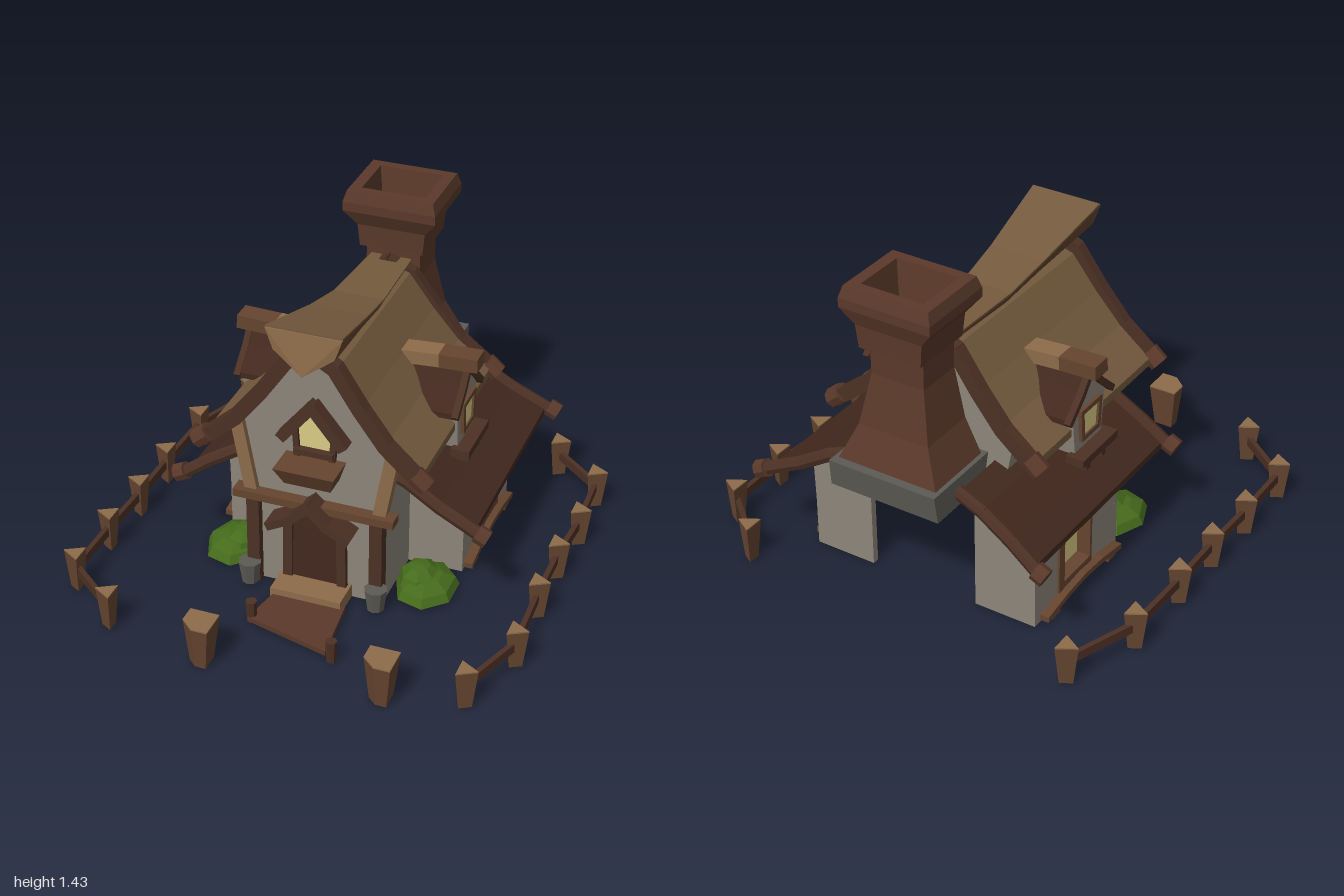
import * as THREE from 'three';

const mat = (name, color) => { const m = new THREE.MeshStandardMaterial({ color }); m.name = name; return m; };
const M = {
  wall: mat('plaster', 0x8d857a), stone: mat('stone', 0x5b5a54), beam: mat('dark beam', 0x4c3024),
  wood: mat('brown wood', 0x66452f), tan: mat('tan wood', 0x8d6c4a), thatch: mat('main roofing', 0x755b3e),
  dark: mat('lower roofing', 0x42281e), glass: mat('lit glass', 0xdacb86), leaf: mat('leaf', 0x456b1c),
  brick: mat('chimney brown', 0x5a392a),
};
let house;

// Every mesh is faceted
function add(name, geo, m, pos) {
  const g = geo.index ? geo.toNonIndexed() : geo;
  g.computeVertexNormals();
  const mesh = new THREE.Mesh(g, m);
  mesh.name = name;
  if (pos) mesh.position.set(...pos);
  house.add(mesh);
  return mesh;
}
const box = (name, m, w, h, d, x, y, z) => add(name, new THREE.BoxGeometry(w, h, d), m, [x, y, z]);

// Beam or log between two points; sides = 0 gives a square beam
function beam(name, m, a, b, w, h = w, sides = 0) {
  const p = new THREE.Vector3(...a), q = new THREE.Vector3(...b), len = p.distanceTo(q) + w * 0.3;
  const geo = sides ? new THREE.CylinderGeometry(w / 2, w / 2, len, sides).rotateX(Math.PI / 2)
    : new THREE.BoxGeometry(w, h, len);
  const mesh = add(name, geo, m);
  mesh.position.copy(p).add(q).multiplyScalar(0.5);
  mesh.lookAt(q);
}
function path(name, m, pts, w, h, sides) {
  for (let i = 1; i < pts.length; i++) beam(name, m, pts[i - 1], pts[i], w, h, sides);
}

const shape = pts => new THREE.Shape(pts.map(p => new THREE.Vector2(...p)));
// Plate in the xy plane from z0 to z1
function plate(name, m, pts, z0, z1) {
  add(name, new THREE.ExtrudeGeometry(shape(pts), { depth: z1 - z0, bevelEnabled: false }), m, [0, 0, z0]);
}
// Plate in the zy plane, between x0 and x1 on side s
function sidePlate(name, m, pts, x0, x1, s) {
  const geo = new THREE.ExtrudeGeometry(shape(pts.map(([z, y]) => [-z, y])), { depth: x1 - x0, bevelEnabled: false });
  add(name, geo.rotateY(Math.PI / 2), m, [s > 0 ? x0 : -x1, 0, 0]);
}
// Thickened polyline, closed below by a copy lowered by t
const thick = (pts, t) => [...pts, ...pts.slice().reverse().map(([x, y]) => [x, y - t])];
const mirror = (pts, s) => pts.map(([x, y]) => [s * x, y]);

// Skin over rings of equal length, with optional end caps
function loft(name, m, rings, capA = true, capB = true) {
  const v = [], n = rings[0].length, tri = (...t) => t.forEach(p => v.push(...p));
  for (let r = 1; r < rings.length; r++) for (let i = 0; i < n; i++) {
    const a = rings[r - 1], b = rings[r], j = (i + 1) % n;
    tri(a[i], a[j], b[j]);
    tri(a[i], b[j], b[i]);
  }
  const last = rings[rings.length - 1];
  for (let i = 1; i < n - 1; i++) {
    if (capA) tri(rings[0][0], rings[0][i + 1], rings[0][i]);
    if (capB) tri(last[0], last[i], last[i + 1]);
  }
  const g = new THREE.BufferGeometry();
  g.setAttribute('position', new THREE.Float32BufferAttribute(v, 3));
  add(name, g, m);
}
const rect = (y, w, z0, z1) => [[-w, y, z1], [w, y, z1], [w, y, z0], [-w, y, z0]];

function mainHouse() {
  const front = [[0.29, 0], [0.28, 0.42], [0.34, 0.76], [0.2, 0.93], [0.08, 1.09]];
  plate('frontWall', M.wall, [...front, ...mirror(front, -1).reverse()], 0.25, 0.28);
  const back = [[0.3, 0.56], [0.34, 0.76], [0.2, 0.93], [0.08, 1.08]];
  plate('backGable', M.wall, [...back, ...mirror(back, -1).reverse()], -0.54, -0.51);
  // Roof halves with edge boards
  const roof = [[0, 1.14], [0.1, 1.1], [0.21, 0.95], [0.32, 0.82], [0.465, 0.705]];
  for (const s of [1, -1]) {
    box('lowerSideWall', M.wall, 0.03, 0.5, 0.34, s * 0.275, 0.25, 0.11);
    plate('upperSideWall', M.wall, mirror([[0.28, 0.44], [0.345, 0.76], [0.315, 0.76], [0.25, 0.44]], s), -0.54, 0.28);
    plate('mainRoof', M.thatch, mirror(thick(roof, 0.035), s), -0.58, 0.31);
    for (const [z, dz, lift] of [[0.31, 0.035, 0.04], [-0.57, -0.02, 0]]) {
      const pts = roof.map(([x, y], i) => [s * x, y - 0.015 + lift * (1 - i / 4), z + dz * i / 4]);
      path('roofEdgeBoard', M.beam, pts, 0.05, 0.06);
      beam('roofEdgeEnd', M.brick, [s * 0.45, 0.71, z + dz], [s * 0.485, 0.68, z + dz], 0.085, 0, 8);
    }
    beam('cornerPost', M.beam, [s * 0.27, 0.01, 0.29], [s * 0.27, 0.42, 0.29], 0.055);
    beam('upperCornerPost', M.tan, [s * 0.28, 0.45, 0.28], [s * 0.335, 0.76, 0.28], 0.055);
  }
  // Ridge log rising to the front, with roofing on top and a cut face
  const cap = [[-0.6, 1.14, 0.09, 0.06], [-0.2, 1.155, 0.11, 0.08], [0.02, 1.2, 0.125, 0.1], [0.4, 1.3, 0.16, 0.19]];
  const section = (z, y, w, h) => [[0, y - h, z + (z > 0.3 ? 0.02 : 0)],
    [w * 0.8, y - h * 0.5, z], [w, y, z], [-w, y, z], [-w * 0.8, y - h * 0.5, z]];
  loft('ridgeLog', M.wood, cap.map(([z, y, w, h]) => section(z, y - 0.008, w, h)), true, false);
  loft('ridgeTop', M.thatch, cap.map(([z, y, w]) => [[-w, y - 0.008, z], [w, y - 0.008, z], [w, y, z], [-w, y, z]]));
  loft('ridgeFace', M.tan, [0, 0.006].map(d => section(0.4, 1.292, 0.16, 0.182).map(([x, y, z]) => [x, y, z + d])));
  box('frontCrossBeam', M.wood, 0.7, 0.035, 0.07, 0, 0.437, 0.3);
}

function frontDetails() {
  // Gable window
  plate('gableGlass', M.glass, [[-0.07, 0.66], [0.07, 0.66], [0.08, 0.8], [0, 0.89], [-0.08, 0.8]], 0.28, 0.288);
  for (const s of [1, -1]) {
    beam('windowHood', M.beam, [0, 0.915, 0.31], [s * 0.13, 0.755, 0.31], 0.06, 0.045);
    beam('windowJamb', M.beam, [s * 0.075, 0.66, 0.29], [s * 0.085, 0.8, 0.29], 0.025);
    // Door frame and porch roof
    beam('doorJamb', M.beam, [s * 0.12, 0.05, 0.3], [s * 0.115, 0.38, 0.3], 0.025, 0.04);
    path('porchRoof', M.beam, [[0, 0.465, 0.34], [s * 0.08, 0.395, 0.34], [s * 0.165, 0.35, 0.34]], 0.11, 0.035);
  }
  box('windowSill', M.beam, 0.17, 0.025, 0.04, 0, 0.69, 0.3);
  loft('windowBox', M.wood, [rect(0.57, 0.1, 0.28, 0.38), rect(0.66, 0.13, 0.28, 0.43)]);
  plate('door', M.dark, [[-0.11, 0.05], [0.11, 0.05], [0.11, 0.36], [0, 0.44], [-0.11, 0.36]], 0.28, 0.3);
  box('doorStep', M.tan, 0.31, 0.06, 0.14, 0, 0.03, 0.35);
  loft('porchDeck', M.brick, [0.008, 0.03].map(y =>
    [[-0.18, y, 0.6], [0.2, y, 0.7], [0.17, y, 0.4], [-0.14, y, 0.4]]));
  for (const [x, z] of [[0.23, 0.71], [-0.17, 0.58]])
    add('deckPeg', new THREE.CylinderGeometry(0.025, 0.02, 0.1, 7), M.beam, [x, 0.05, z]);
  for (const s of [1, -1])
    add('bucket', new THREE.CylinderGeometry(0.05, 0.036, 0.1, 8), M.stone, [s * 0.28, 0.06, 0.335]);
}

function wing(s) {
  const endWall = mirror([[0.25, 0], [0.525, 0], [0.535, 0.44], [0.4, 0.51], [0.25, 0.57]], s);
  plate('wingFrontWall', M.wall, endWall, -0.08, -0.05);
  plate('wingBackWall', M.wall, endWall, -0.69, -0.66);
  // Side wall around a tall opening
  for (const [h, d, y, z] of [[0.44, 0.22, 0.22, -0.16], [0.44, 0.18, 0.22, -0.6], [0.08, 0.24, 0.04, -0.39], [0.04, 0.24, 0.42, -0.39]])
    box('wingSideWall', M.wall, 0.03, h, d, s * 0.515, y, z);
  // The left-hand eave reaches a little further out
  const out = s > 0 ? 0.655 : 0.605;
  const roof = [[0.25, 0.61], [0.36, 0.57], [0.5, 0.485], [out, 0.41]];
  plate('wingRoof', M.dark, mirror(thick(roof, 0.03), s), -0.79, 0.19);
  for (const [z, dz] of [[0.18, 0.03], [-0.79, -0.035]]) {
    const pts = [...roof, [out + 0.035, 0.395]].map(([x, y], i) => [s * x, y - 0.005, z + dz * i / 4]);
    path('wingRoofLog', M.beam, pts, 0.06, 0, 8);
    beam('wingLogEnd', M.brick, [s * (out + 0.02), 0.4, z + dz], [s * (out + 0.045), 0.388, z + dz], 0.08, 0, 8);
  }
  // Recessed lit window with frame
  box('wingGlass', M.glass, 0.008, 0.34, 0.24, s * 0.475, 0.24, -0.385);
  box('wingWindowJamb', M.wood, 0.07, 0.37, 0.014, s * 0.505, 0.23, -0.275);
  box('wingWindowJamb', M.wood, 0.07, 0.37, 0.04, s * 0.505, 0.23, -0.5);
  for (const y of [0.08, 0.41]) box('wingWindowRail', M.wood, 0.07, 0.03, 0.22, s * 0.505, y, -0.385);
  // Arched bench
  const arch = [[-0.65, 0.035], [-0.5, 0.06], [-0.36, 0.07], [-0.22, 0.06], [-0.07, 0.035]];
  sidePlate('archedBench', M.wood, thick(arch, 0.025), 0.5, 0.57, s);
  for (const z of [-0.58, -0.14]) box('benchFoot', M.wood, 0.05, 0.04, 0.06, s * 0.54, 0.02, z);
  // Low mounded bush, closed underneath
  const dome = () => new THREE.SphereGeometry(1, 7, 3, 0, Math.PI * 2, 0, Math.PI / 2);
  add('bush', dome().scale(0.135, 0.075, 0.165), M.leaf, [s * 0.43, 0.012, 0.12]);
  add('bushTop', dome().scale(0.09, 0.07, 0.11), M.leaf, [s * 0.395, 0.045, 0.11]);
  add('bushBase', new THREE.CircleGeometry(1, 7).rotateX(Math.PI / 2).scale(0.13, 1, 0.16), M.leaf, [s * 0.43, 0.012, 0.12]);
}

function dormer(s) {
  const c = -0.205;
  const face = [[c - 0.1, 0.58], [c + 0.1, 0.58], [c + 0.125, 0.78], [c, 0.91], [c - 0.125, 0.78]];
  sidePlate('dormerWall', M.wall, face, 0.3, 0.475, s);
  sidePlate('dormerGlass', M.glass, [[c - 0.045, 0.65], [c + 0.045, 0.65], [c + 0.055, 0.755], [c - 0.055, 0.755]], 0.475, 0.483, s);
  for (const d of [1, -1]) {
    const curve = [[c, 0.945], [c + d * 0.07, 0.86], [c + d * 0.165, 0.775]];
    sidePlate('dormerRoof', M.dark, thick(curve, 0.025), 0.24, 0.475, s);
    path('dormerEdgeBoard', M.beam, curve.map(([z, y]) => [s * 0.48, y - 0.015, z]), 0.028);
    beam('dormerJamb', M.wood, [s * 0.48, 0.64, c + d * 0.06], [s * 0.48, 0.76, c + d * 0.07], 0.022);
    box('planterBracket', M.beam, 0.05, 0.05, 0.03, s * 0.49, 0.53, c + d * 0.06);
  }
  for (const [y, w] of [[0.64, 0.14], [0.765, 0.16]]) box('dormerRail', M.wood, 0.022, 0.022, w, s * 0.48, y, c);
  // Ridge board: pale inner half, darker outer half
  beam('dormerRidge', M.tan, [s * 0.2, 0.93, c], [s * 0.35, 0.94, c], 0.095, 0.06);
  beam('dormerRidgeEnd', M.wood, [s * 0.36, 0.94, c], [s * 0.515, 0.945, c], 0.095, 0.06);
  box('dormerPlanter', M.beam, 0.08, 0.035, 0.27, s * 0.495, 0.572, c);
}

function chimney() {
  loft('chimneyBase', M.stone, [rect(0.55, 0.25, -0.94, -0.62), rect(0.67, 0.245, -0.955, -0.58)]);
  loft('chimneyStack', M.brick, [rect(0.66, 0.23, -0.92, -0.6), rect(0.82, 0.16, -0.865, -0.61),
    rect(1.04, 0.12, -0.825, -0.62), rect(1.18, 0.12, -0.825, -0.62)], true, false);
  // Flared cap with a sunken flue
  loft('chimneyCap', M.brick, [rect(1.17, 0.14, -0.87, -0.59), rect(1.27, 0.15, -0.875, -0.585), rect(1.34, 0.205, -0.9, -0.55),
    rect(1.38, 0.205, -0.9, -0.55), rect(1.43, 0.19, -0.885, -0.565), rect(1.43, 0.14, -0.84, -0.61), rect(1.26, 0.12, -0.82, -0.63)]);
}

function yard() {
  const fences = [
    [[-0.8, -0.9], [-0.92, -0.58], [-0.93, -0.24], [-0.93, 0.04], [-0.94, 0.32], [-0.94, 0.63], [-0.7, 0.82]],
    [[0.7, -0.93], [0.92, -0.74], [0.93, -0.43], [0.91, -0.16], [0.91, 0.13], [0.92, 0.47], [0.81, 0.78]],
  ];
  for (const posts of fences) {
    path('fenceRail', M.beam, posts.map(([x, z]) => [x, 0.1, z]), 0.022, 0.04);
    for (const [x, z] of posts) {
      const post = add('fencePost', new THREE.CylinderGeometry(0.053, 0.032, 0.174, 3), M.wood, [x, 0.087, z]);
      const top = add('fencePostTop', new THREE.CylinderGeometry(0.053, 0.053, 0.006, 3), M.tan, [x, 0.177, z]);
      post.rotation.y = top.rotation.y = Math.sign(x) * Math.PI / 2;
    }
  }
  // Gate posts with one chamfered corner
  for (const [x, z] of [[-0.26, 0.895], [0.49, 0.86]]) {
    const ring = (y, r) => [[-r, r * 0.2], [-r * 0.1, r], [r, r], [r, -r], [-r, -r]].map(([a, b]) => [x + a, y, z + b]);
    loft('gatePost', M.wood, [ring(0, 0.042), ring(0.194, 0.063)], true, false);
    loft('gatePostTop', M.tan, [ring(0.194, 0.063), ring(0.2, 0.063)]);
  }
}

export function createModel() {
  house = new THREE.Group();
  house.name = 'cottage';
  mainHouse();
  frontDetails();
  for (const s of [1, -1]) { wing(s); dormer(s); }
  chimney();
  yard();
  return house;
}
